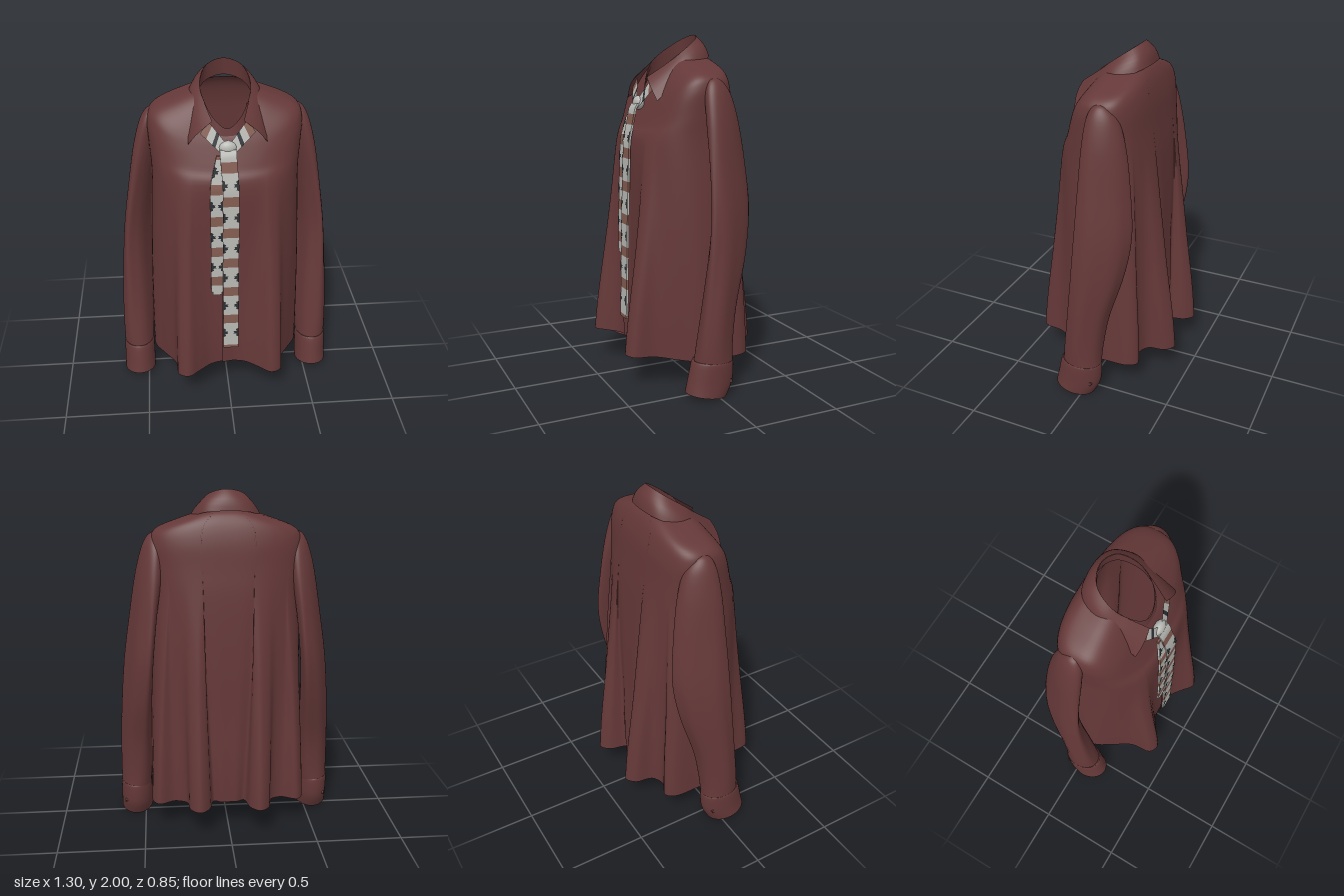
import * as THREE from 'three';

const paint = (name, color) => {
  const m = new THREE.MeshStandardMaterial({ color, side: THREE.DoubleSide });
  m.name = name;
  return m;
};
const lerp = THREE.MathUtils.lerp;

// Smooth interpolation through rows of numbers, t from 0 to 1
function sampleRows(rows, t) {
  const f = t * (rows.length - 1), i = Math.min(Math.floor(f), rows.length - 2), k = f - i;
  const at = (n) => rows[THREE.MathUtils.clamp(n, 0, rows.length - 1)];
  return rows[i].map((_, c) => {
    const p0 = at(i - 1)[c], p1 = at(i)[c], p2 = at(i + 1)[c], p3 = at(i + 2)[c];
    return p1 + 0.5 * k * (p2 - p0 + k * (2 * p0 - 5 * p1 + 4 * p2 - p3 + k * (3 * (p1 - p2) + p3 - p0)));
  });
}

// Skin a stack of cross-sections
function loft(rings, closed) {
  const n = rings[0].length, index = [];
  for (let i = 0; i < rings.length - 1; i++) {
    for (let j = 0; j < (closed ? n : n - 1); j++) {
      const k = (j + 1) % n, a = i * n + j, b = i * n + k, c = b + n, d = a + n;
      index.push(a, b, c, a, c, d);
    }
  }
  const g = new THREE.BufferGeometry();
  g.setAttribute('position', new THREE.Float32BufferAttribute(rings.flat(2), 3));
  g.setIndex(index);
  g.computeVertexNormals();
  return g;
}

export function createModel() {
  const cloth = paint('maroon cloth', 0x653838);
  const white = paint('tie white', 0xb8b8b4);
  const brown = paint('tie brown', 0x835c51);
  const dark = paint('tie dark', 0x2b3033);
  const model = new THREE.Group();
  const add = (name, geometry, material, parent = model) => {
    const m = new THREE.Mesh(geometry, material);
    m.name = name;
    parent.add(m);
    return m;
  };

  // Body: wavy hem blending upward into a smooth chest and shoulders
  const half = [[0.1, 0.315], [0.18, 0.37], [0.25, 0.42], [0.31, 0.39], [0.325, 0.27], [0.39, 0.15],
    [0.45, 0.04], [0.455, -0.1], [0.45, -0.23], [0.41, -0.28], [0.32, -0.245], [0.25, -0.28],
    [0.23, -0.38], [0.175, -0.425], [0.12, -0.38], [0.09, -0.28], [0.045, -0.3]];
  const hemPoints = [[0, 0.3], ...half, [0, -0.3], ...half.map(([x, z]) => [-x, z]).reverse()];
  const hem = new THREE.CatmullRomCurve3(hemPoints.map(([x, z]) => new THREE.Vector3(x, 0, z)), true);
  // half width, front z, back z, side y, front y, back y, hem weight
  const bodyRows = [
    [0.45, 0.34, -0.34, 0.165, 0.21, 0.18, 1],
    [0.44, 0.29, -0.28, 0.6, 0.6, 0.6, 0.68],
    [0.43, 0.285, -0.275, 1, 1, 1, 0.35],
    [0.42, 0.288, -0.265, 1.38, 1.38, 1.38, 0.06],
    [0.43, 0.248, -0.25, 1.56, 1.49, 1.56, 0],
    [0.435, 0.21, -0.235, 1.7, 1.58, 1.7, 0],
    [0.4, 0.188, -0.21, 1.775, 1.63, 1.8, 0],
    [0.27, 0.172, -0.178, 1.83, 1.66, 1.86, 0],
    [0.15, 0.155, -0.14, 1.87, 1.68, 1.89, 0],
  ];
  const pow = (v) => Math.sign(v) * Math.abs(v) ** 0.75;
  const bodyRings = [];
  for (let i = 0; i <= 48; i++) {
    const [a, zf, zb, ys, yf, yb, w] = sampleRows(bodyRows, i / 48);
    const ring = [];
    for (let j = 0; j < 180; j++) {
      const h = hem.getPoint(j / 180), th = Math.atan2(h.x / 0.45, h.z / 0.35);
      const s = Math.sin(th), c = Math.cos(th), zc = -0.04;
      const z = zc + pow(Math.abs(c)) * ((c > 0 ? zf : zb) - zc);
      ring.push([lerp(a * pow(s), h.x, w), lerp(ys, c > 0 ? yf : yb, c * c), lerp(z, h.z, w)]);
    }
    bodyRings.push(ring);
  }
  add('shirtBody', loft(bodyRings, true), cloth);

  // Front placket: one raised edge, the other sinking into the body
  const placket = bodyRings.slice(0, 18).map((r) => [[-0.04, 0.012], [0.05, -0.004]]
    .map(([x, lift]) => [x, r[0][1], r[0][2] + lift]));
  add('placket', loft(placket, false), cloth);

  // Collar: a stand around the neck and a fall rolled down to pointed tips
  const mirrorPoints = (pts) => [
    ...pts.slice(1).reverse().map(([x, y, z]) => new THREE.Vector3(-x, y, z)),
    ...pts.map((p) => new THREE.Vector3(...p))];
  const neckEdge = [[0, 2, -0.13], [0.095, 1.975, -0.095], [0.138, 1.91, 0], [0.125, 1.845, 0.085]];
  const collarTop = new THREE.CatmullRomCurve3(mirrorPoints([...neckEdge, [0.085, 1.76, 0.205]]));
  const collarLow = new THREE.CatmullRomCurve3(mirrorPoints(
    [[0, 1.885, -0.19], [0.13, 1.875, -0.165], [0.205, 1.828, -0.06], [0.216, 1.75, 0.06], [0.215, 1.63, 0.2]]));
  const collarRings = [];
  for (let i = 0; i <= 6; i++) {
    const k = i / 6, ring = [];
    for (let j = 0; j <= 60; j++) {
      const p = collarTop.getPoint(1 - j / 60).lerp(collarLow.getPoint(1 - j / 60), k);
      const roll = 0.012 * Math.sin(Math.PI * k), r = Math.hypot(p.x, p.z);
      ring.push([p.x * (1 + roll / r), p.y + roll * 0.6, p.z * (1 + roll / r)]);
    }
    collarRings.push(ring);
  }
  add('collar', loft(collarRings, false), cloth);
  const standTop = new THREE.CatmullRomCurve3(
    [...mirrorPoints([...neckEdge, [0.065, 1.745, 0.15]]), new THREE.Vector3(0, 1.7, 0.165)], true);
  const standPoints = standTop.getPoints(79).slice(0, 79).reverse();
  const standRings = [0, 1, 2, 3].map((i) => standPoints.map((p) => {
    const k = i / 3, out = lerp(1.12, 0.995, k);
    return [p.x * out, p.y - 0.1 * (1 - k), p.z * out];
  }));
  add('collarStand', loft(standRings, true), cloth);

  // Sleeves and cuffs: inner x, outer x, back z, front z, back y, front y
  const sleeveRows = [
    [0.462, 0.643, -0.1, 0.13, 0.19, 0.19], [0.455, 0.643, -0.108, 0.115, 0.32, 0.32],
    [0.45, 0.638, -0.14, 0.09, 0.52, 0.52], [0.44, 0.622, -0.22, 0.06, 0.8, 0.8],
    [0.425, 0.6, -0.255, 0.04, 1.04, 1.04], [0.4, 0.56, -0.235, 0.03, 1.3, 1.3],
    [0.37, 0.522, -0.2, 0.025, 1.52, 1.52], [0.36, 0.482, -0.155, 0.015, 1.67, 1.67],
    [0.375, 0.445, -0.1, -0.01, 1.74, 1.74], [0.4, 0.41, -0.055, -0.045, 1.76, 1.76],
  ];
  const cuffRows = [
    [0.458, 0.65, -0.06, 0.18, 0.005, 0.045], [0.458, 0.648, -0.098, 0.168, 0.09, 0.1],
    [0.46, 0.646, -0.103, 0.142, 0.2, 0.215], [0.47, 0.636, -0.09, 0.125, 0.205, 0.22],
  ];
  // Sections slant so the back of the arm sits nearer the body than the front
  const sleeveGeometry = (rows, side, steps, fold, slant) => {
    const rings = [];
    for (let i = 0; i <= steps; i++) {
      const t = i / steps, [xi, xo, zb, zf, yb, yf] = sampleRows(rows, t), ring = [];
      const strength = fold * Math.sin(Math.PI * Math.min(1, t * 1.5));
      const rz = (zf - zb) / 2, skew = slant * Math.sin(Math.PI * t) * rz;
      const rx = Math.sqrt(((xo - xi) / 2) ** 2 - skew ** 2);
      for (let j = 0; j < 64; j++) {
        const th = (j / 64) * Math.PI * 2, s = Math.sin(th), c = Math.cos(th);
        const r = 1 - strength * (1 + Math.cos(6 * th + side * 5 * t));
        ring.push([side * ((xi + xo) / 2 + r * c * skew) + r * s * rx,
          lerp(yb, yf, (c + 1) / 2), (zb + zf) / 2 + r * c * rz]);
      }
      rings.push(ring);
    }
    return loft(rings, true);
  };
  for (const side of [1, -1]) {
    const arm = new THREE.Group();
    arm.name = side > 0 ? 'leftSleeve' : 'rightSleeve';
    model.add(arm);
    add('sleeve', sleeveGeometry(sleeveRows, side, 48, 0.03, 0.38), cloth, arm);
    add('cuff', sleeveGeometry(cuffRows, side, 12, 0, 0), cloth, arm);
    const button = add('cuffButton', new THREE.CylinderGeometry(0.011, 0.011, 0.02, 16), cloth, arm);
    button.rotation.z = Math.PI / 2;
    button.position.set(side * 0.612, 0.1, -0.062);
  }

  // Tie: patterned pieces bent to hang over the chest
  const tie = new THREE.Group();
  tie.name = 'tie';
  model.add(tie);
  const drape = [[1.64, 0.225], [1.58, 0.258], [1.5, 0.276], [1.4, 0.3], [1, 0.314], [0.3, 0.33]];
  const hangZ = (y) => {
    let i = 0;
    while (i < drape.length - 2 && y < drape[i + 1][0]) i++;
    const [y0, z0] = drape[i], [y1, z1] = drape[i + 1];
    return lerp(z0, z1, (y - y0) / (y1 - y0));
  };
  const bend = (g, dz, lean) => {
    const p = g.attributes.position;
    for (let i = 0; i < p.count; i++) {
      const y = p.getY(i);
      p.setX(i, p.getX(i) + lean * THREE.MathUtils.smoothstep(y, 1.38, 1.62));
      p.setZ(i, p.getZ(i) + hangZ(y) + dz);
    }
    g.computeVertexNormals();
    return g;
  };
  const star = [[0, -0.032], [0.016, -0.024], [0.012, -0.01], [0.03, -0.008], [0.024, 0],
    [0.03, 0.008], [0.012, 0.01], [0.016, 0.024], [0, 0.032]];
  const blade = (name, x0, x1, bottom, top, firstBand, dz, lean, tip, tipInset) => {
    const piece = (y0, y1, material, inset = 0) => {
      const g = new THREE.BoxGeometry(x1 - x0 - 2 * inset, y1 - y0, 0.012, 1, 4, 1);
      add(name, bend(g.translate((x0 + x1) / 2, (y0 + y1) / 2, 0), dz, lean), material, tie);
    };
    const motif = (y) => [[x0, 1], [x1, -1]].forEach(([x, dir]) => {
      const s = new THREE.Shape(star.map(([u, v]) => new THREE.Vector2(x + dir * u, y + v)));
      add(name + 'Motif', bend(new THREE.ShapeGeometry(s).translate(0, 0, 0.009), dz, lean), dark, tie);
    });
    piece(bottom, bottom + 0.02, tip, tipInset);
    let y = bottom + 0.02;
    for (let band = firstBand; y < top; band += 0.194) {
      const low = Math.min(band - 0.03, top), high = Math.min(band + 0.03, top);
      piece(y, low, white);
      if (high > low) piece(low, high, brown);
      if (band - 0.097 > bottom + 0.04 && band - 0.097 < top - 0.03) motif(band - 0.097);
      y = high;
    }
  };
  blade('frontBlade', -0.036, 0.055, 0.34, 1.61, 0.55, 0, -0.012, brown, 0);
  blade('backBlade', -0.105, -0.034, 0.72, 1.58, 0.815, -0.008, 0.04, white, 0.01);

  // Flat knot and the neck band disappearing under the collar
  const knot = add('tieKnot', new THREE.SphereGeometry(1, 24, 16), white, tie);
  knot.scale.set(0.05, 0.04, 0.03);
  knot.position.set(-0.003, 1.613, 0.222);
  const stops = [0, 0.34, 0.48, 0.74, 1];
  const edge = (side, k) => [
    [side * lerp(0.03, 0.15, k), lerp(1.58, 1.69, k), lerp(0.246, 0.198, k)],
    [side * lerp(0.015, 0.11, k), lerp(1.645, 1.76, k), lerp(0.225, 0.18, k)]];
  for (const side of [1, -1]) {
    [white, dark, white, brown].forEach((material, i) => {
      const rings = [edge(side, stops[i]), edge(side, stops[i + 1])];
      add('tieNeckBand', loft(side > 0 ? rings.reverse() : rings, false), material, tie);
    });
  }
  return model;
}
